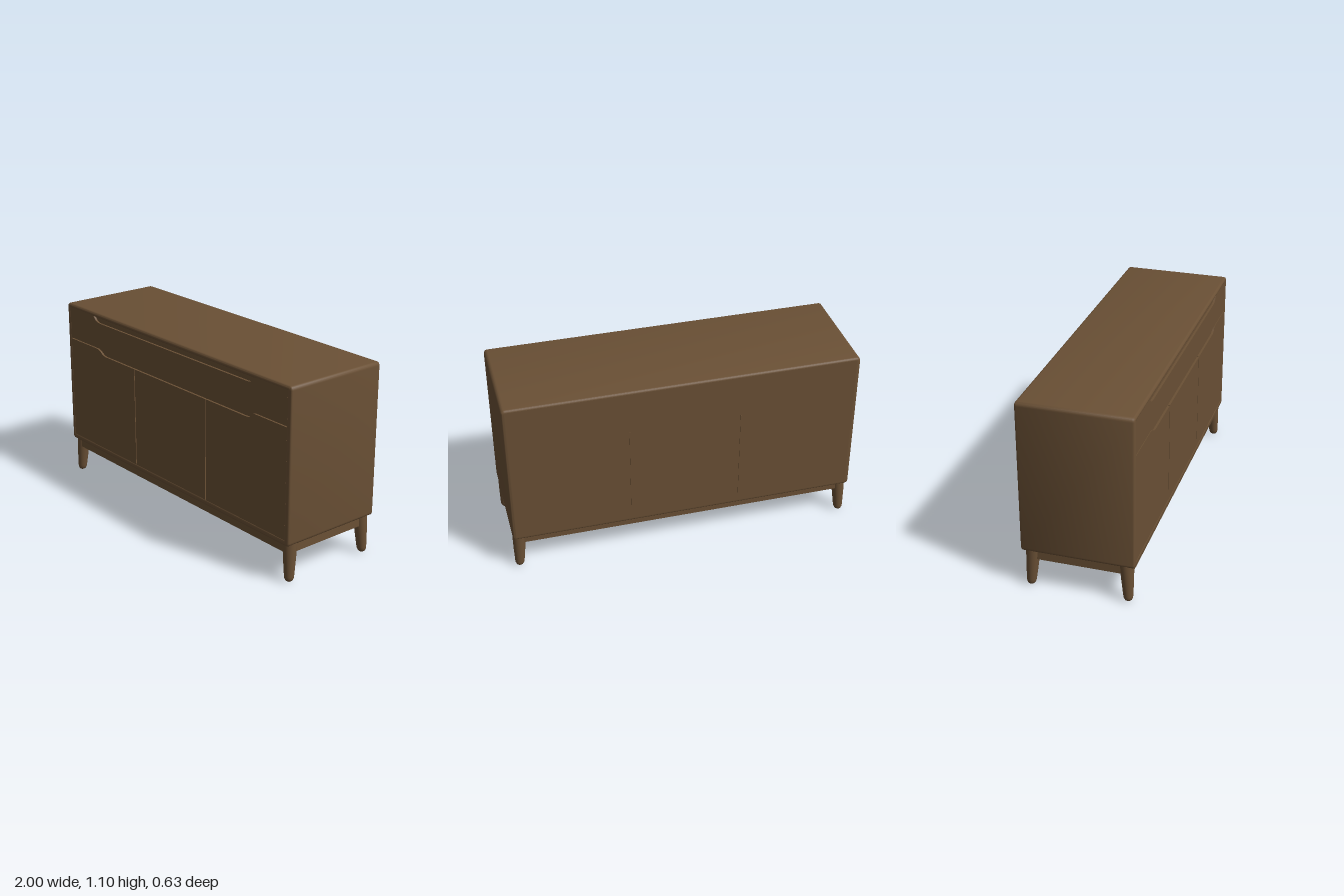
import * as THREE from 'three';
import { toCreasedNormals } from 'three/addons/utils/BufferGeometryUtils.js';

const BACK = -0.31, FRONT = 0.32, BEVEL = 0.014;

export function createModel() {
  const group = new THREE.Group();
  const wood = new THREE.MeshStandardMaterial({ color: 0x6a5035 });
  wood.name = 'walnut wood';

  const add = (name, geometry, x = 0, y = 0, z = 0) => {
    const mesh = new THREE.Mesh(geometry, wood);
    mesh.name = name;
    mesh.position.set(x, y, z);
    group.add(mesh);
    return mesh;
  };
  const box = (name, x0, x1, y0, y1, z0, z1) =>
    add(name, new THREE.BoxGeometry(x1 - x0, y1 - y0, z1 - z0), (x0 + x1) / 2, (y0 + y1) / 2, (z0 + z1) / 2);

  // Carcass: a softly rounded frame running the full depth
  const w = 0.998 - BEVEL, y0 = 0.22 + BEVEL, y1 = 1.1 - BEVEL, r = 0.008;
  const frame = new THREE.Shape();
  frame.moveTo(-w + r, y0);
  frame.lineTo(w - r, y0);
  frame.quadraticCurveTo(w, y0, w, y0 + r);
  frame.lineTo(w, y1 - r);
  frame.quadraticCurveTo(w, y1, w - r, y1);
  frame.lineTo(-w + r, y1);
  frame.quadraticCurveTo(-w, y1, -w, y1 - r);
  frame.lineTo(-w, y0 + r);
  frame.quadraticCurveTo(-w, y0, -w + r, y0);
  frame.holes.push(new THREE.Path([
    [-0.975, 0.245], [-0.975, 1.085], [0.975, 1.085], [0.975, 0.245],
  ].map(([x, y]) => new THREE.Vector2(x, y))));
  const carcass = new THREE.ExtrudeGeometry(frame, {
    depth: FRONT - BACK - 2 * BEVEL, bevelSize: BEVEL, bevelThickness: BEVEL, bevelSegments: 4, curveSegments: 4,
  });
  add('carcass', toCreasedNormals(carcass, 0.6), 0, 0, BACK + BEVEL);

  // Inner body closes the back and backs the grooves between the fronts
  box('innerBody', -0.978, 0.978, 0.24, 1.088, BACK, 0.306);

  // Drawer and door fronts, with a finger grip cut along their top edges
  const front = (name, points) => {
    const shape = new THREE.Shape();
    points.forEach((p, i) => {
      if (i === 0) shape.moveTo(p[0], p[1]);
      else if (p.length === 6) shape.bezierCurveTo(...p);
      else shape.lineTo(p[0], p[1]);
    });
    add(name, new THREE.ExtrudeGeometry(shape, { depth: 0.016, bevelEnabled: false, curveSegments: 10 }), 0, 0, 0.302);
  };
  const side = 0.968, gap = 0.003, split = 0.323;

  const dTop = 1.079, dGrip = 1.042;
  front('drawerFront', [
    [-side, 0.885], [side, 0.885], [side, dTop], [0.735, dTop],
    [0.71, dTop, 0.715, dGrip, 0.66, dGrip], [-0.66, dGrip],
    [-0.715, dGrip, -0.71, dTop, -0.735, dTop], [-side, dTop],
  ]);

  const bottom = 0.253, top = 0.879, grip = 0.847;
  front('rightDoor', [
    [-side, bottom], [-split - gap, bottom], [-split - gap, grip], [-0.6, grip],
    [-0.66, grip, -0.65, top, -0.71, top], [-side, top],
  ]);
  front('middleDoor', [
    [-split + gap, bottom], [split - gap, bottom], [split - gap, grip], [-split + gap, grip],
  ]);
  front('leftDoor', [
    [split + gap, bottom], [side, bottom], [side, top], [0.72, top],
    [0.7, top, 0.71, grip, 0.65, grip], [split + gap, grip],
  ]);

  // Thin joint strips on the back panel
  for (const x of [-0.315, 0.315]) box('backSeam', x - 0.003, x + 0.003, 0.27, 0.84, BACK - 0.004, BACK + 0.002);

  // Plinth under the carcass
  box('plinth', -0.978, 0.978, 0.17, 0.225, -0.28, 0.298);

  // Tapered legs with rounded feet, leaning slightly outwards
  const profile = [
    [0, 0.003], [0.012, 0.005], [0.02, 0.011], [0.025, 0.022], [0.027, 0.035], [0.034, 0.13], [0.039, 0.228],
  ].map(([x, y]) => new THREE.Vector2(x, y));
  for (const sx of [-1, 1]) {
    for (const [name, zTop, lean] of [['frontLeg', 0.267, 0.012], ['backLeg', -0.252, -0.014]]) {
      const leg = new THREE.LatheGeometry(profile, 24);
      const p = leg.attributes.position;
      for (let i = 0; i < p.count; i++) {
        const t = 1 - p.getY(i) / 0.228;
        p.setX(i, p.getX(i) + sx * 0.012 * t);
        p.setZ(i, p.getZ(i) + lean * t);
      }
      leg.computeVertexNormals();
      add(name, leg, sx * 0.956, 0, zTop);
    }
  }

  return group;
}
